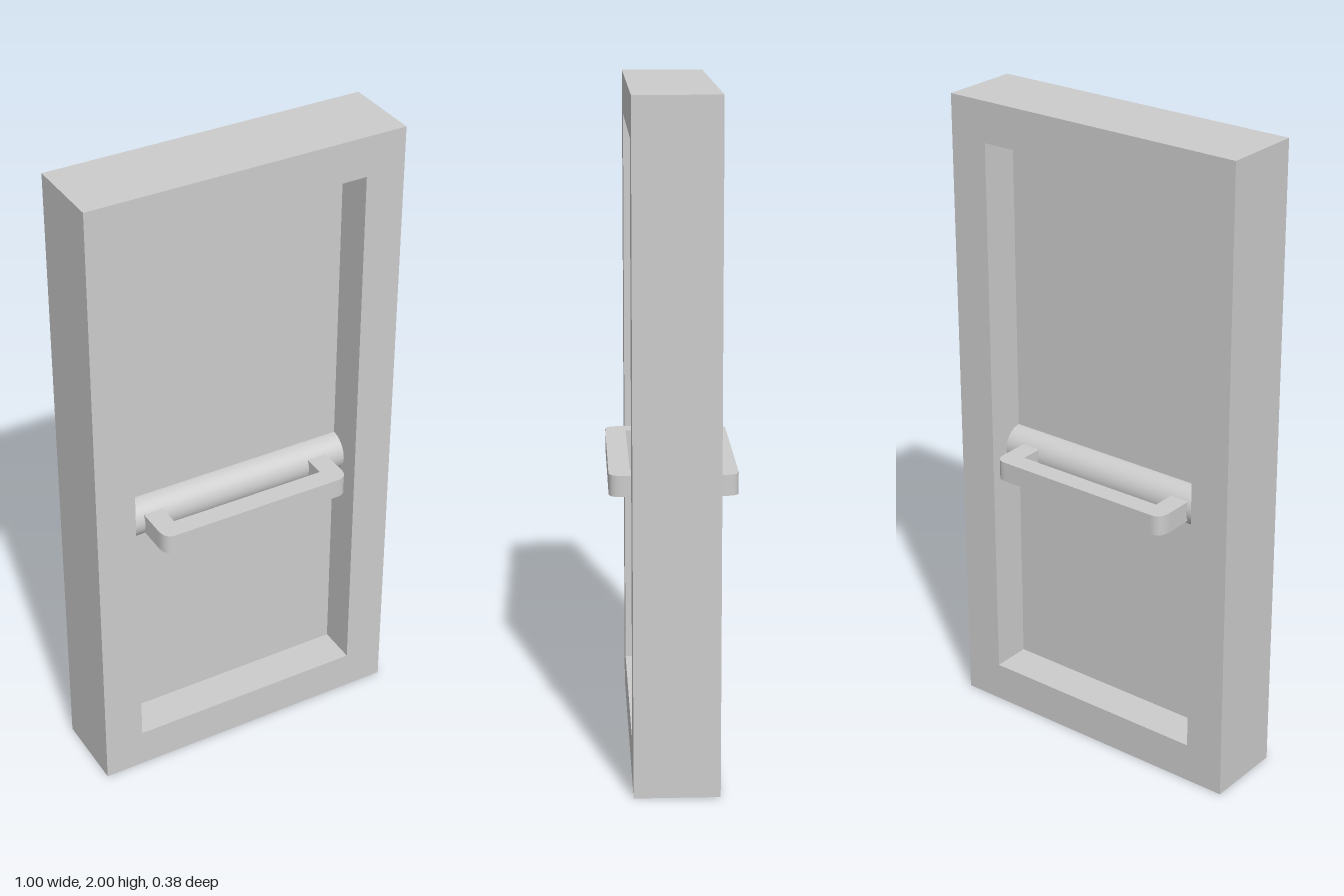
import * as THREE from 'three';

export function createModel() {
  const model = new THREE.Group();
  model.name = 'door';

  const grey = new THREE.MeshStandardMaterial({ color: 0xcccccc });
  grey.name = 'light grey';

  const add = (name, geometry, y = 0, z = 0) => {
    const mesh = new THREE.Mesh(geometry, grey);
    mesh.name = name;
    mesh.position.set(0, y, z);
    model.add(mesh);
    return mesh;
  };

  const rectangle = (path, x, bottom, top) =>
    path.moveTo(-x, bottom).lineTo(x, bottom).lineTo(x, top).lineTo(-x, top).closePath();

  // Outer frame with a rectangular opening
  const frame = rectangle(new THREE.Shape(), 0.5, 0, 2);
  frame.holes.push(rectangle(new THREE.Path(), 0.375, 0.125, 1.875));
  add('frame', new THREE.ExtrudeGeometry(frame, { depth: 0.25, bevelEnabled: false }), 0, -0.125);

  // Thin pane in the middle of the frame
  add('pane', new THREE.BoxGeometry(0.75, 1.75, 0.004), 1);

  // Round crossbar through the pane
  const bar = new THREE.CylinderGeometry(0.0625, 0.0625, 0.75, 32, 1, true);
  add('crossbar', bar.rotateZ(Math.PI / 2), 0.875);

  // U-shaped push handle with rounded outer corners, drawn from above
  const X = 0.3125, Z = 0.1875, inner = 0.25, root = 0.04;
  const outline = new THREE.Shape()
    .moveTo(X, root)
    .lineTo(X, Z - 0.045)
    .quadraticCurveTo(X, Z, X - 0.035, Z)
    .lineTo(-X + 0.035, Z)
    .quadraticCurveTo(-X, Z, -X, Z - 0.045)
    .lineTo(-X, root)
    .lineTo(-inner, root)
    .lineTo(-inner, 0.125)
    .lineTo(inner, 0.125)
    .lineTo(inner, root)
    .closePath();
  const handle = new THREE.ExtrudeGeometry(outline, { depth: 0.0625, bevelEnabled: false, curveSegments: 8 });
  handle.rotateX(Math.PI / 2).translate(0, 0.03125, 0);
  add('frontHandle', handle, 0.875);
  add('backHandle', handle, 0.875).rotation.y = Math.PI;

  return model;
}
